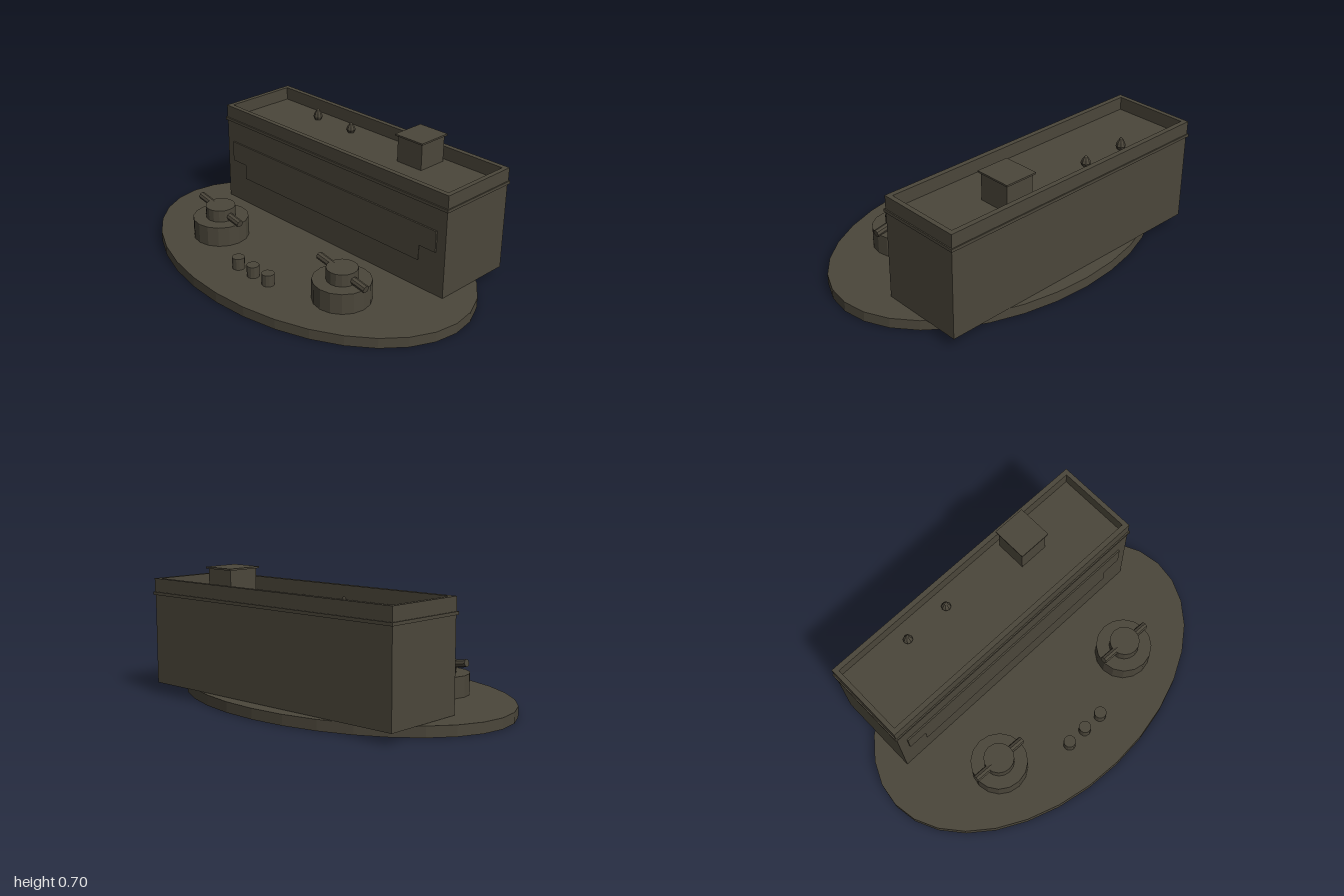
import * as THREE from 'three';

export function createModel() {
  const model = new THREE.Group();
  const stone = new THREE.MeshStandardMaterial({ color: 0x4b463a, flatShading: true });
  stone.name = 'dark olive stone';

  function add(name, geometry, x, y, z, parent = model) {
    const mesh = new THREE.Mesh(geometry, stone);
    mesh.name = name;
    mesh.position.set(x, y, z);
    parent.add(mesh);
    return mesh;
  }
  // Box given by its limits on each axis
  function box(name, x0, x1, y0, y1, z0, z1) {
    return add(name, new THREE.BoxGeometry(x1 - x0, y1 - y0, z1 - z0),
      (x0 + x1) / 2, (y0 + y1) / 2, (z0 + z1) / 2);
  }
  // Upright cylinder standing on y0
  function drum(name, r, y0, y1, sides, x, z, parent) {
    return add(name, new THREE.CylinderGeometry(r, r, y1 - y0, sides), x, (y0 + y1) / 2, z, parent);
  }

  // Oval base
  const base = drum('base', 1, 0, 0.055, 32, 0, 0);
  base.scale.z = 0.65;

  // Building block and ledge
  box('buildingBlock', -0.81, 0.81, 0.057, 0.53, -0.577, -0.117);
  box('ledge', -0.818, 0.818, 0.53, 0.546, -0.586, -0.109);

  // Hollow parapet around the flat roof
  const rect = (shape, w, d) => shape.moveTo(-w, -d).lineTo(w, -d).lineTo(w, d).lineTo(-w, d).closePath();
  const wall = rect(new THREE.Shape(), 0.812, 0.232);
  wall.holes.push(rect(new THREE.Path(), 0.787, 0.205));
  const parapetGeometry = new THREE.ExtrudeGeometry(wall, { depth: 0.071, bevelEnabled: false });
  parapetGeometry.rotateX(-Math.PI / 2);
  add('parapet', parapetGeometry, 0, 0.546, -0.348);

  // Chimney with its cap
  box('chimney', 0.272, 0.435, 0.546, 0.69, -0.527, -0.355);
  box('chimneyCap', 0.262, 0.445, 0.69, 0.699, -0.538, -0.343);

  // Pointed roof vents
  for (const [x, h] of [[-0.425, 0.07], [-0.165, 0.06]]) {
    const profile = [[0, 0], [0.018, 0.04], [0.026, 0.3], [0.02, 0.6], [0.008, 0.88], [0, 1]]
      .map(([r, t]) => new THREE.Vector2(r, t * h));
    add('roofVent', new THREE.LatheGeometry(profile, 8), x, 0.546, -0.459);
  }

  // Front panels
  box('upperPanel', -0.76, 0.755, 0.295, 0.41, -0.117, -0.1085);
  box('lowerPanel', -0.655, 0.65, 0.21, 0.37, -0.1115, -0.1095);

  // Two turrets, each with a tilted bar
  for (const x of [-0.465, 0.465]) {
    const turret = new THREE.Group();
    turret.name = 'turret';
    turret.position.set(x, 0, 0.233);
    model.add(turret);
    drum('turretBase', 0.15, 0.055, 0.165, 16, 0, 0, turret);
    drum('turretTop', 0.08, 0.165, 0.231, 16, 0, 0, turret);
    const bar = add('turretBar', new THREE.CylinderGeometry(0.02, 0.02, 0.327, 8), 0, 0.202, 0, turret);
    bar.rotation.z = Math.PI / 2 - 0.178;
  }

  // Row of short posts
  for (const x of [-0.115, 0, 0.115]) drum('post', 0.033, 0.055, 0.118, 12, x, 0.405);

  return model;
}
